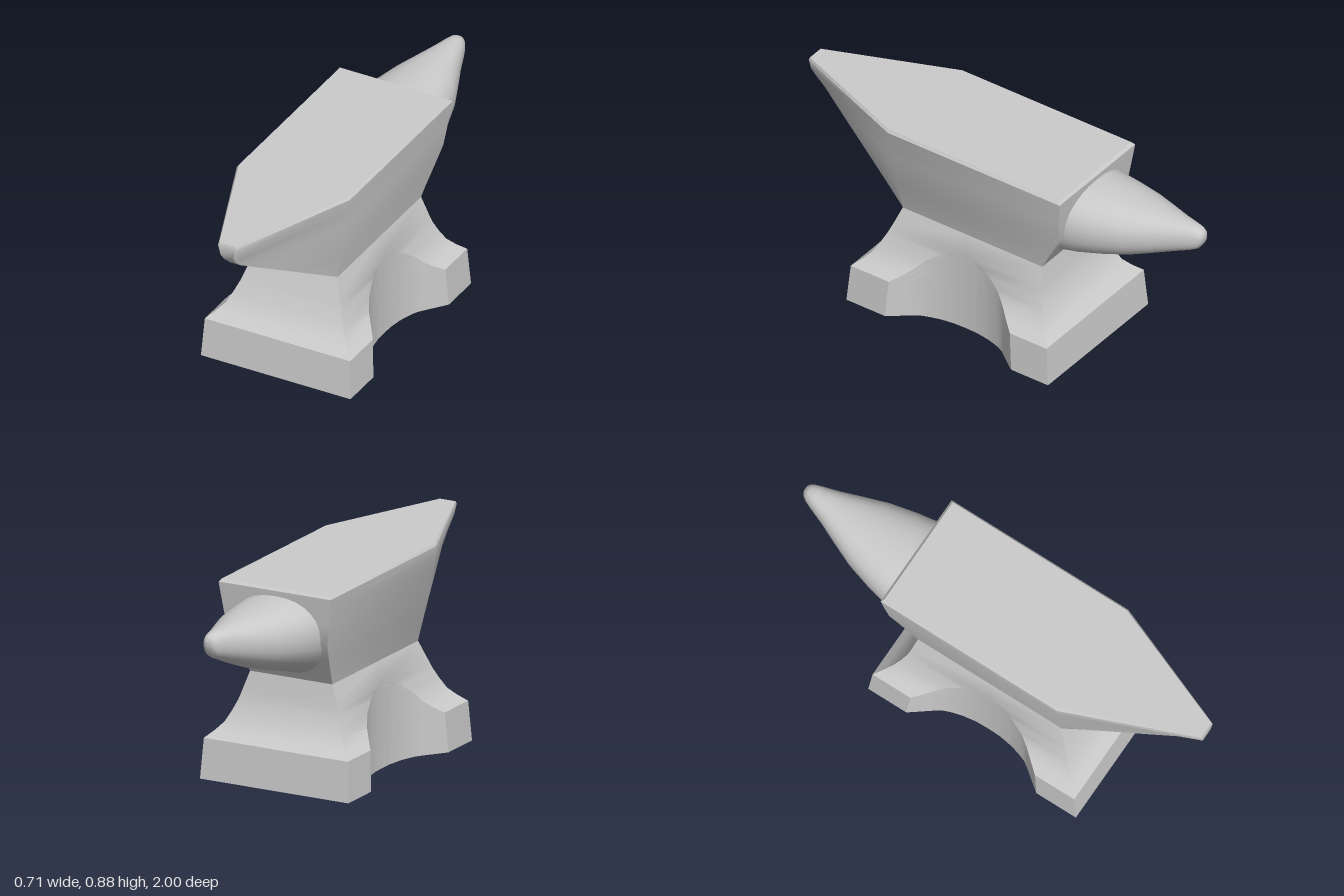
import * as THREE from 'three';
import { toCreasedNormals } from 'three/addons/utils/BufferGeometryUtils.js';

const steel = new THREE.MeshStandardMaterial({ color: 0xcccccc });

// Skins closed rings of [x, y, z] points and caps both ends with a fan.
function loft(name, rings) {
  const pos = [];
  const V = (p) => new THREE.Vector3(...p);
  const tri = (a, b, c) => {
    const area = V(b).sub(V(a)).cross(V(c).sub(V(a))).length();
    if (area > 1e-8) pos.push(...a, ...b, ...c);
  };
  const n = rings[0].length;
  const middle = (ring) => [0, 1, 2].map((k) => {
    const v = ring.map((p) => p[k]);
    return (Math.min(...v) + Math.max(...v)) / 2;
  });
  const first = rings[0], last = rings[rings.length - 1];
  const c0 = middle(first), c1 = middle(last);
  for (let j = 0; j < n; j++) {
    const k = (j + 1) % n;
    for (let i = 0; i < rings.length - 1; i++) {
      const a = rings[i], b = rings[i + 1];
      tri(a[j], a[k], b[k]);
      tri(a[j], b[k], b[j]);
    }
    tri(c0, first[k], first[j]);
    tri(c1, last[j], last[k]);
  }
  const geo = new THREE.BufferGeometry();
  geo.setAttribute('position', new THREE.Float32BufferAttribute(pos, 3));
  const mesh = new THREE.Mesh(toCreasedNormals(geo, THREE.MathUtils.degToRad(36)), steel);
  mesh.name = name;
  return mesh;
}

// Completes a +x half outline (front to back) with its mirror image.
const mirrored = (half) => [...half, ...half.map(([x, y, z]) => [-x, y, z]).reverse()];

// Linear lookup in a table sorted by column "from".
function lookup(table, from, to, v) {
  if (v <= table[0][from]) return table[0][to];
  for (let i = 1; i < table.length; i++) {
    const a = table[i - 1], b = table[i];
    if (v <= b[from]) return a[to] + (b[to] - a[to]) * (v - a[from]) / (b[from] - a[from]);
  }
  return table[table.length - 1][to];
}

// Foot and waist, with a scooped recess cut straight up into each side.
function makeBase() {
  // distance from recess centre, x of recess wall
  const recess = [[0, 0.227], [0.06, 0.229], [0.12, 0.238], [0.17, 0.252],
    [0.21, 0.268], [0.31, 0.345], [0.325, 0.356]];
  const centre = 0.06, steps = 32;
  // y, half width, front z, back z
  const profile = [[0, 0.355, 0.58, -0.453], [0.175, 0.345, 0.565, -0.438],
    [0.205, 0.312, 0.532, -0.405], [0.24, 0.281, 0.5, -0.375], [0.285, 0.259, 0.475, -0.352],
    [0.33, 0.24, 0.453, -0.334], [0.35, 0.233, 0.445, -0.329], [0.372, 0.226, 0.436, -0.324],
    [0.455, 0.197, 0.405, -0.31]];
  return loft('base', profile.map(([y, w, front, back]) => {
    const reach = lookup(recess, 1, 0, w);
    const half = [[w, y, front]];
    for (let i = 0; i <= steps; i++) {
      const d = reach * (1 - 2 * i / steps);
      half.push([Math.min(w, lookup(recess, 0, 1, Math.abs(d))), y, centre + d]);
    }
    half.push([w, y, back]);
    return mirrored(half);
  }));
}

// Body with flat face and tapering front heel, built in horizontal slices.
function makeBody() {
  // y, half width, shoulder z, tip half width, tip z, back z
  const slices = [
    [0.455, 0.197, 0.404, 0.196, 0.405, -0.31],
    [0.5, 0.205, 0.41, 0.169, 0.485, -0.335],
    [0.58, 0.222, 0.415, 0.123, 0.627, -0.382],
    [0.66, 0.239, 0.42, 0.077, 0.77, -0.425],
    [0.75, 0.253, 0.425, 0.025, 0.93, -0.435],
    [0.79, 0.258, 0.427, 0.025, 0.975, -0.44],
    [0.82, 0.262, 0.43, 0.03, 0.997, -0.444],
    [0.868, 0.268, 0.43, 0.041, 1, -0.449],
    [0.88, 0.259, 0.43, 0.038, 0.996, -0.438],
  ];
  return loft('body', slices.map(([y, w, shoulder, tip, front, back]) =>
    mirrored([[tip, y, front], [w, y, shoulder], [w, y, back]])));
}

// Rounded horn tapering to the back.
function makeHorn() {
  // z, half width, bottom y, top y
  const sections = [[-0.3, 0.195, 0.47, 0.846], [-0.36, 0.208, 0.5, 0.846],
    [-0.45, 0.208, 0.525, 0.845], [-0.56, 0.187, 0.557, 0.841], [-0.68, 0.155, 0.595, 0.837],
    [-0.78, 0.115, 0.635, 0.833], [-0.87, 0.077, 0.673, 0.829], [-0.945, 0.05, 0.705, 0.826],
    [-0.975, 0.038, 0.722, 0.822], [-0.993, 0.027, 0.748, 0.81], [-1, 0.014, 0.77, 0.797]];
  const sides = 28;
  const bulge = (v) => Math.sign(v) * Math.abs(v) ** 0.88;
  return loft('horn', sections.map(([z, w, bottom, top]) =>
    Array.from({ length: sides }, (_, i) => {
      const a = i / sides * Math.PI * 2;
      return [w * bulge(Math.cos(a)), (top + bottom) / 2 - (top - bottom) / 2 * bulge(Math.sin(a)), z];
    })));
}

export function createModel() {
  const group = new THREE.Group();
  group.name = 'anvil';
  group.add(makeBase(), makeBody(), makeHorn());
  return group;
}
